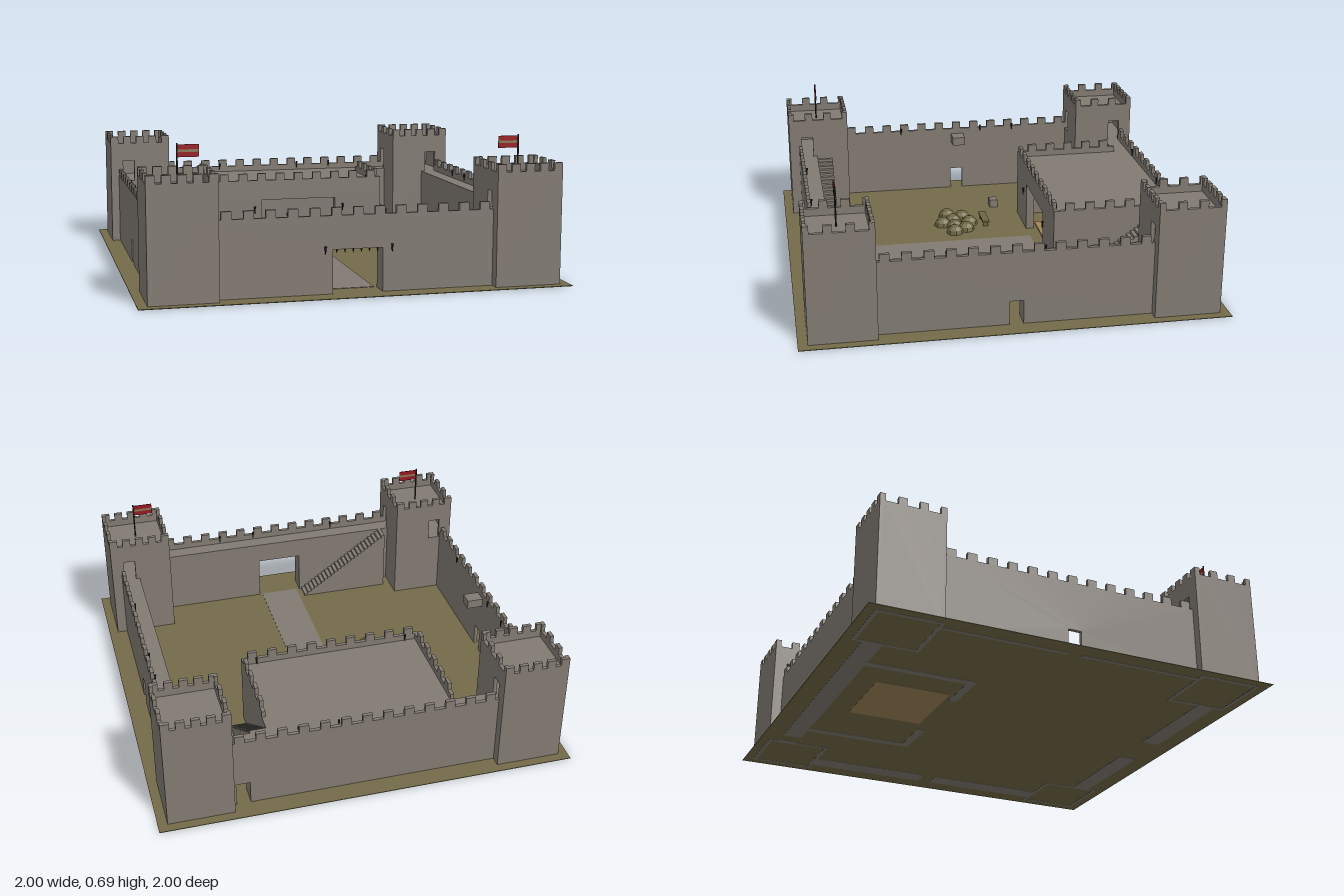
import * as THREE from 'three';

const mat = (name, color) => Object.assign(new THREE.MeshStandardMaterial({ color }), { name });

export function createModel() {
  const stone = mat('stone', 0x827b73);
  const grass = mat('grass', 0x736b48);
  const hay = mat('hay', 0x6f6743);
  const planks = mat('planks', 0xa08458);
  const iron = mat('iron', 0x2c2722);
  const red = mat('red cloth', 0x96191f);
  const tan = mat('tan cloth', 0x8a7654);

  const model = new THREE.Group();
  model.name = 'castle';

  const add = (name, geometry, material, x, y, z, parent = model) => {
    const mesh = new THREE.Mesh(geometry, material);
    mesh.name = name;
    mesh.position.set(x, y, z);
    parent.add(mesh);
    return mesh;
  };
  // Box given by its limits on each axis
  const block = (name, material, [x0, x1], [y0, y1], [z0, z1], parent) =>
    add(name, new THREE.BoxGeometry(x1 - x0, y1 - y0, z1 - z0), material,
      (x0 + x1) / 2, (y0 + y1) / 2, (z0 + z1) / 2, parent);

  // Upright wall with openings and, if asked for, merlons; along x, or along z if turned
  function wall(name, { length, y0 = 0, y1, depth, x = 0, z = 0, turned = false,
    doors = [], merlons = 0, merlonWidth = 0.046, merlonHeight = 0.036, toEdges = false, parent }) {
    const h = length / 2;
    const s = new THREE.Shape();
    s.moveTo(-h, y0);
    for (const d of doors) {
      const l = d.at - d.width / 2, r = d.at + d.width / 2;
      if (d.bottom > y0) {
        s.holes.push(new THREE.Path([[l, d.bottom], [l, d.top], [r, d.top], [r, d.bottom]]
          .map(p => new THREE.Vector2(...p))));
      } else {
        s.lineTo(l, y0); s.lineTo(l, d.top); s.lineTo(r, d.top); s.lineTo(r, y0);
      }
    }
    s.lineTo(h, y0);
    s.lineTo(h, y1);
    const step = toEdges ? (length - merlonWidth) / (merlons - 1) : 0.1;
    for (let i = merlons - 1; i >= 0; i--) {
      const c = (i - (merlons - 1) / 2) * step;
      const r = Math.min(c + merlonWidth / 2, h), l = Math.max(c - merlonWidth / 2, -h);
      if (r < h - 1e-5) s.lineTo(r, y1);
      s.lineTo(r, y1 + merlonHeight);
      s.lineTo(l, y1 + merlonHeight);
      if (l > -h + 1e-5) s.lineTo(l, y1);
    }
    if (!(toEdges && merlons)) s.lineTo(-h, y1);
    const g = new THREE.ExtrudeGeometry(s, { depth, bevelEnabled: false });
    g.translate(0, 0, -depth / 2);
    if (turned) g.rotateY(-Math.PI / 2);
    return add(name, g, stone, x, 0, z, parent);
  }

  // Ground, path and plank floor
  block('ground', grass, [-1, 1], [0.001, 0.004], [-1, 1]);
  block('path', stone, [-0.1, 0.1], [0.003, 0.006], [-0.27, 0.81]);
  block('plankFloor', planks, [-0.27, 0.13], [0, 0.012], [-0.7, -0.33]);

  // Curtain walls: thick body with a wall walk, thin battlement on the outer edge
  const walk = 0.33, crest = 0.36, span = 1.28;
  const body = { length: span, y1: walk, depth: 0.095 };
  const parapet = { length: span, y0: walk, y1: crest, depth: 0.018, merlons: 13 };
  const postern = { at: 0.002, width: 0.066, bottom: 0, top: 0.12 };
  wall('frontWall', { ...body, z: 0.8575, doors: [{ at: -0.002, width: 0.232, bottom: 0, top: 0.225 }] });
  wall('frontParapet', { ...parapet, z: 0.896 });
  wall('backWall', { ...body, z: -0.8575, doors: [{ at: 0.59, width: 0.066, bottom: 0, top: 0.12 }] });
  wall('backParapet', { ...parapet, z: -0.896 });
  wall('sideWall', { ...body, x: 0.8575, turned: true, doors: [postern] });
  wall('sideParapet', { ...parapet, x: 0.896, turned: true });
  wall('thinSideWall', { ...parapet, y0: 0, x: -0.905, turned: true, doors: [postern] });
  block('walkRemnant', stone, [-0.897, -0.815], [0.285, walk], [-0.037, 0.032]);

  // Corner towers with hollow rooms
  for (const sx of [-1, 1]) for (const sz of [-1, 1]) {
    const tower = new THREE.Group();
    tower.name = 'tower';
    tower.position.set(sx * 0.7975, 0, sz * 0.7975);
    model.add(tower);
    const t = 0.018, half = 0.1575;
    const base = { y1: 0.535, depth: t, merlons: 5, merlonWidth: 0.041, toEdges: true, parent: tower };
    const door = s => [{ at: s * 0.0625, width: 0.06, bottom: walk, top: 0.44 }];
    for (const s of [-1, 1]) {
      wall('towerWall', { ...base, length: half * 2, z: s * (half - t / 2), doors: s === -sz ? door(sx) : [] });
      wall('towerWall', { ...base, length: (half - t) * 2, x: s * (half - t / 2), turned: true, merlons: 4,
        toEdges: false, merlonWidth: 0.04, doors: s === -sx ? door(sz) : [] }).name = 'towerSideWall';
    }
    const inner = [-half + t, half - t];
    block('towerFloor', stone, inner, [walk - 0.02, walk], inner, tower);
    block('towerRoof', stone, inner, [0.48, 0.5], inner, tower);
  }

  // Keep against the back wall
  wall('keepFront', { length: 0.905, y1: 0.3, depth: 0.04, z: -0.29,
    doors: [{ at: 0, width: 0.4, bottom: 0, top: 0.255 }] });
  for (const s of [-1, 1])
    wall('keepSide', { length: 0.5, y1: 0.3, depth: 0.04, x: s * 0.4325, z: -0.56, turned: true });
  block('keepRoof', stone, [-0.4525, 0.4525], [0.3, walk], [-0.81, -0.27]);
  const rail = { ...parapet, merlonWidth: 0.045 };
  wall('keepFrontParapet', { ...rail, length: 0.905, z: -0.279, merlons: 9 });
  wall('keepSideParapet', { ...rail, length: 0.522, x: -0.4435, z: -0.549, turned: true, merlons: 5 });
  wall('keepSideParapet', { ...rail, length: 0.422, x: 0.4435, z: -0.499, turned: true, merlons: 4 });

  // Stairs to the wall walk and to the keep roof
  const steps = 24;
  for (let i = 0; i < steps; i++) {
    const top = walk * (i + 1) / steps, run = 0.47 / steps;
    block('wallStair', stone, [-0.13 - (i + 1) * run, -0.13 - i * run], [0.002, top], [0.73, 0.812]);
    block('keepStair', stone, [0.45, 0.53], [0.002, top], [-0.34 - (i + 1) * run, -0.34 - i * run]);
  }

  // Raised portcullis
  block('portcullisBar', stone, [-0.118, 0.114], [0.205, 0.225], [0.88, 0.9]);
  for (let i = 0; i < 6; i++) {
    const spike = new THREE.ConeGeometry(0.006, 0.022, 4);
    spike.rotateX(Math.PI);
    add('portcullisSpike', spike, iron, -0.097 + i * 0.038, 0.195, 0.89);
  }

  // Torches
  const torch = (x, y, z) => {
    const g = new THREE.CylinderGeometry(0.006, 0.002, 0.036, 5);
    add('torch', g, iron, x, y, z);
  };
  for (const s of [-1, 1]) {
    torch(s * 0.155, 0.205, 0.912);
    torch(s * 0.24, 0.205, -0.26);
    torch(s * 0.38, 0.35, -0.296);
    for (const a of [-0.32, 0.13, 0.32]) torch(a, 0.36, s * 0.88);
    for (const a of [-0.32, -0.135, 0.32]) torch(s * 0.882, 0.36, a);
  }

  // Courtyard: hay mounds, bench and stone block
  const mounds = [[-0.41, 0.05], [-0.325, 0.02], [-0.245, 0.05], [-0.445, 0.125],
    [-0.365, 0.105], [-0.285, 0.105], [-0.21, 0.115], [-0.325, 0.165]];
  for (const [x, z] of mounds) {
    const g = new THREE.SphereGeometry(0.046, 8, 3, 0, Math.PI * 2, 0, Math.PI / 2).toNonIndexed();
    g.computeVertexNormals();
    add('hayMound', g, hay, x, 0.003, z);
  }
  block('benchTop', hay, [-0.4, -0.26], [0.028, 0.038], [-0.08, -0.043]);
  for (const x of [-0.385, -0.285])
    block('benchLeg', hay, [x, x + 0.012], [0.003, 0.028], [-0.075, -0.048]);
  block('stoneBlock', stone, [-0.59, -0.537], [0.003, 0.046], [-0.175, -0.132]);

  // Flags on the front towers, both flying toward the gate
  for (const s of [-1, 1]) {
    const x = s * 0.797;
    add('flagPole', new THREE.CylinderGeometry(0.004, 0.004, 0.19, 6), iron, x, 0.595, 0.8);
    const cloth = s < 0 ? [x, x + 0.098] : [x - 0.098, x];
    block('flagTop', red, cloth, [0.662, 0.684], [0.798, 0.802]);
    block('flagStripe', tan, cloth, [0.65, 0.662], [0.798, 0.802]);
    block('flagBottom', red, cloth, [0.628, 0.65], [0.798, 0.802]);
  }

  return model;
}
